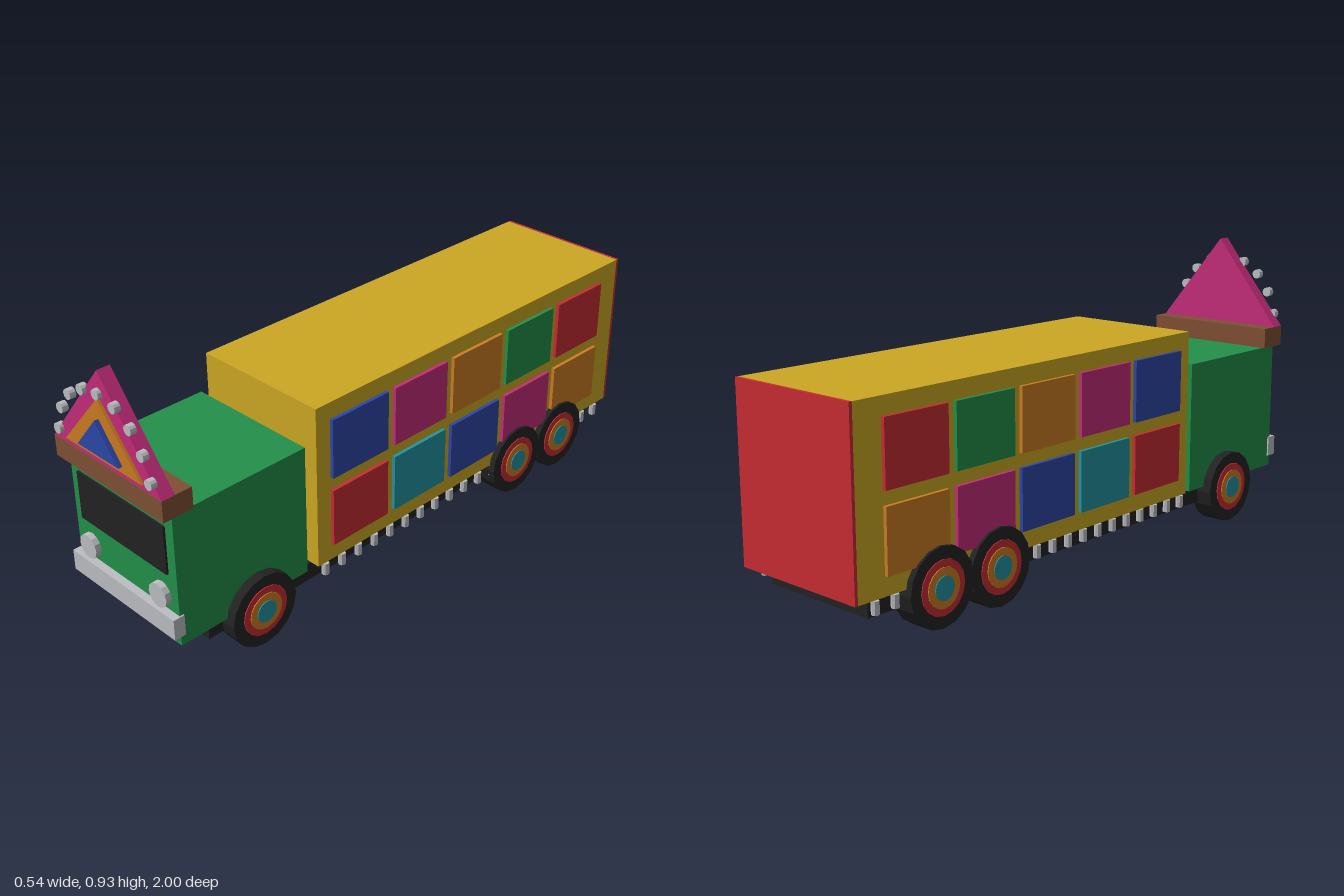
import * as THREE from 'three';

const mat = (name, color) => {
  const m = new THREE.MeshStandardMaterial({ color, flatShading: true });
  m.name = name;
  return m;
};

export function createModel() {
  const yellow = mat('yellow', 0xcca822), green = mat('green', 0x22904a);
  const magenta = mat('magenta', 0xc42c7a), orange = mat('orange', 0xcc7c22);
  const blue = mat('blue', 0x2c46a8), teal = mat('teal', 0x2292a2);
  const red = mat('red', 0xc82c34), brown = mat('brown', 0x805034);
  const silver = mat('silver', 0xbcbec2), black = mat('black', 0x222222);

  const truck = new THREE.Group();
  truck.name = 'truck';

  const add = (name, geometry, material, parent = truck) => {
    const mesh = new THREE.Mesh(geometry, material);
    mesh.name = name;
    parent.add(mesh);
    return mesh;
  };
  // Box given by its limits on each axis
  const box = (name, material, x0, x1, y0, y1, z0, z1) => {
    const mesh = add(name, new THREE.BoxGeometry(x1 - x0, y1 - y0, z1 - z0), material);
    mesh.position.set((x0 + x1) / 2, (y0 + y1) / 2, (z0 + z1) / 2);
    return mesh;
  };
  // Short cylinder facing forward
  const disc = (name, material, x, y, z0, z1, radius) => {
    const geometry = new THREE.CylinderGeometry(radius, radius, z1 - z0, 12).rotateX(Math.PI / 2);
    add(name, geometry, material).position.set(x, y, (z0 + z1) / 2);
  };
  // Upright triangular plate
  const triangle = (name, material, halfWidth, y0, y1, z0, z1) => {
    const shape = new THREE.Shape([
      new THREE.Vector2(-halfWidth, y0), new THREE.Vector2(halfWidth, y0), new THREE.Vector2(0, y1),
    ]);
    const geometry = new THREE.ExtrudeGeometry(shape, { depth: z1 - z0, bevelEnabled: false });
    add(name, geometry, material).position.z = z0;
  };

  // Chassis, cargo box and rear door
  box('chassis', black, -0.205, 0.205, 0.08, 0.14, -0.93, 0.83);
  box('cargoBox', yellow, -0.238, 0.238, 0.14, 0.685, -0.99, 0.43);
  box('rearDoor', red, -0.238, 0.238, 0.14, 0.685, -1, -0.99);

  // Cab
  box('cab', green, -0.228, 0.228, 0.137, 0.57, 0.465, 0.943);
  box('windshield', black, -0.194, 0.194, 0.365, 0.523, 0.942, 0.95);
  box('bumper', silver, -0.233, 0.233, 0.172, 0.24, 0.93, 0.968);
  for (const side of [-1, 1]) disc('headlight', silver, side * 0.16, 0.285, 0.94, 0.962, 0.039);

  // Roof sign with nested triangles and bulbs
  box('signBase', brown, -0.238, 0.238, 0.57, 0.638, 0.877, 0.978);
  triangle('signBoard', magenta, 0.238, 0.638, 0.932, 0.933, 0.977);
  triangle('signMiddle', orange, 0.168, 0.66, 0.85, 0.977, 0.986);
  triangle('signCentre', blue, 0.09, 0.682, 0.79, 0.986, 1);
  const bulbs = [[0.201, 0.677], [0.177, 0.752], [0.132, 0.812], [0.07, 0.851]];
  for (const [x, y] of bulbs) {
    for (const side of [-1, 1]) disc('bulb', silver, side * x, y, 0.97, 0.99, 0.016);
  }
  disc('bulb', silver, 0, 0.864, 0.97, 0.99, 0.016);

  // Coloured side panels, front to back
  const rows = [
    { y0: 0.433, y1: 0.63, colours: [blue, magenta, orange, green, red] },
    { y0: 0.198, y1: 0.39, colours: [red, teal, blue, magenta, orange] },
  ];
  for (const side of [-1, 1]) {
    for (const { y0, y1, colours } of rows) {
      colours.forEach((colour, i) => {
        const z = 0.26 - i * 0.26;
        const panel = box('sidePanel', colour, 0.237, 0.25, y0, y1, z - 0.115, z + 0.115);
        panel.position.x *= side;
      });
    }
  }

  // Row of small lamps below the cargo box
  const lampGeometry = new THREE.CylinderGeometry(0.012, 0.012, 0.04, 8);
  for (const side of [-1, 1]) {
    for (let i = 0; i < 20; i++) {
      add('skirtLamp', lampGeometry, silver).position.set(side * 0.236, 0.12, 0.4 - i * 0.07);
    }
  }

  // Wheels: tyre with stepped hub rings
  const rings = [
    ['tyre', black, 0.12, 0.185, 0.259],
    ['outerRing', red, 0.082, 0.25, 0.262],
    ['middleRing', orange, 0.06, 0.25, 0.265],
    ['hub', teal, 0.036, 0.25, 0.268],
  ];
  for (const side of [-1, 1]) {
    for (const z of [0.662, -0.475, -0.705]) {
      const wheel = new THREE.Group();
      wheel.name = 'wheel';
      wheel.position.set(0, 0.12, z);
      for (const [name, material, radius, x0, x1] of rings) {
        const geometry = new THREE.CylinderGeometry(radius, radius, x1 - x0, 16).rotateZ(Math.PI / 2);
        add(name, geometry, material, wheel).position.x = side * (x0 + x1) / 2;
      }
      truck.add(wheel);
    }
  }
  return truck;
}
